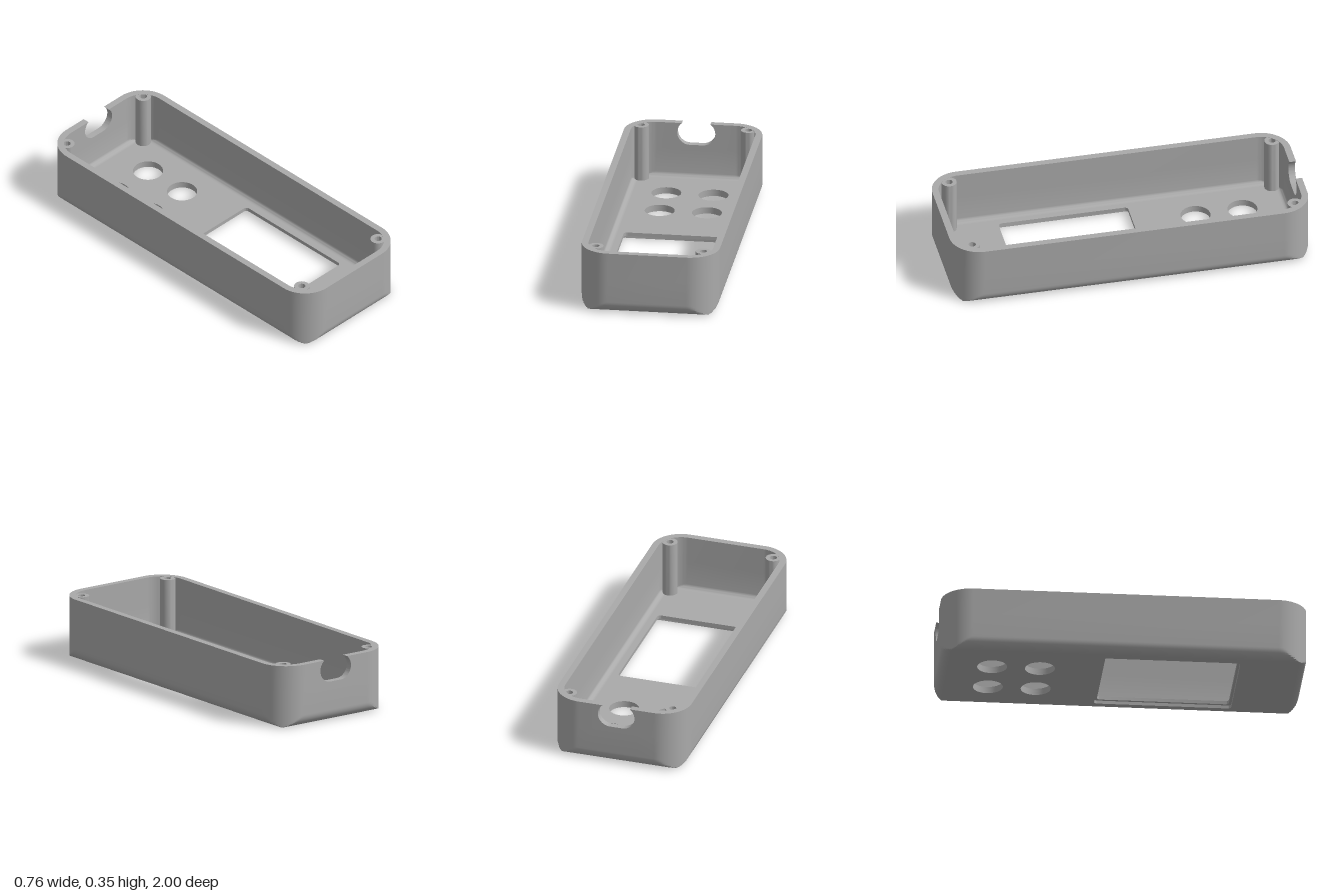
import * as THREE from 'three';
import { toCreasedNormals } from 'three/addons/utils/BufferGeometryUtils.js';

const X = 0.38, Z = 1, H = 0.35;      // half width, half length, height
const R = 0.165, FILLET = 0.065;      // plan corner radius, bottom edge radius
const WALL = 0.037, FLOOR = 0.037;
const NOTCH_X = 0.12, NOTCH_Y = 0.2;  // patch of the back wall holding the cable notch
const ARC = 24;

// One horizontal ring: rounded rectangle inset by `inset`, then trimmed straight by `trim`
function ring(y, inset, trim) {
  const hx = X - inset, hz = Z - inset, r = R - inset, pts = [];
  const add = (x, z) => pts.push([
    THREE.MathUtils.clamp(x, trim - hx, hx - trim), y,
    THREE.MathUtils.clamp(z, trim - hz, hz - trim)]);
  [[1, 1], [-1, 1], [-1, -1], [1, -1]].forEach(([sx, sz], q) => {
    if (q === 3) { add(-NOTCH_X, -hz); add(NOTCH_X, -hz); }
    for (let i = 0; i <= ARC; i++) {
      const a = (q + i / ARC) * Math.PI / 2;
      add(sx * (X - R) + r * Math.cos(a), sz * (Z - R) + r * Math.sin(a));
    }
  });
  return pts;
}

// Outer skin, rim and inner skin lofted as one surface, open at the notch patch
function shellGeometry() {
  const rings = [], steps = 10;
  for (let i = 0; i <= steps; i++) {
    const a = (i / steps) * Math.PI / 2;
    rings.push(ring(FILLET * (1 - Math.cos(a)), 0, FILLET * (1 - Math.sin(a))));
  }
  rings.push(ring(NOTCH_Y, 0, 0), ring(H, 0, 0), ring(H, WALL, 0), ring(NOTCH_Y, WALL, 0));
  const ri = FILLET - WALL;
  for (let i = steps; i >= 0; i--) {
    const a = (i / steps) * Math.PI / 2;
    rings.push(ring(FLOOR + ri * (1 - Math.cos(a)), WALL, ri * (1 - Math.sin(a))));
  }
  const pos = [], n = rings[0].length, gap = 3 * (ARC + 1);
  for (let k = 0; k < rings.length - 1; k++) {
    const lo = rings[k], up = rings[k + 1];
    for (let j = 0; j < n; j++) {
      if (j === gap && lo[0][1] >= NOTCH_Y && up[0][1] >= NOTCH_Y) continue;
      const m = (j + 1) % n;
      pos.push(...lo[j], ...up[j], ...lo[m], ...up[j], ...up[m], ...lo[m]);
    }
  }
  const g = new THREE.BufferGeometry();
  g.setAttribute('position', new THREE.Float32BufferAttribute(pos, 3));
  return toCreasedNormals(g, 0.5);
}

function roundedRect(path, x0, y0, x1, y1, r) {
  path.moveTo(x0 + r, y0);
  path.lineTo(x1 - r, y0).absarc(x1 - r, y0 + r, r, -Math.PI / 2, 0);
  path.lineTo(x1, y1 - r).absarc(x1 - r, y1 - r, r, 0, Math.PI / 2);
  path.lineTo(x0 + r, y1).absarc(x0 + r, y1 - r, r, Math.PI / 2, Math.PI);
  path.lineTo(x0, y0 + r).absarc(x0 + r, y0 + r, r, Math.PI, Math.PI * 1.5);
  return path;
}

// Floor layer with screen window and four button holes
function floorGeometry(y0, y1, grow) {
  const x = X - FILLET, z = Z - FILLET;
  const s = new THREE.Shape();
  s.moveTo(-x, -z).lineTo(x, -z).lineTo(x, z).lineTo(-x, z).closePath();
  s.holes.push(roundedRect(new THREE.Path(),
    -0.278 - grow, -0.103 - grow, 0.278 + grow, 0.62 + grow, 0.02));
  for (const hx of [-0.13, 0.13]) for (const hz of [-0.712, -0.45]) {
    s.holes.push(new THREE.Path().absarc(hx, hz, 0.082, 0, Math.PI * 2, true));
  }
  const g = new THREE.ExtrudeGeometry(s, { depth: y1 - y0, bevelEnabled: false, curveSegments: 24 });
  return toCreasedNormals(g.rotateX(Math.PI / 2).translate(0, y1, 0), 0.5);
}

// Patch of back wall with an obround notch open at the rim
function notchGeometry() {
  const r = 0.07, half = 0.035, cy = 0.295;
  const a = Math.asin((H - cy) / r), edge = half + r * Math.cos(a);
  const s = new THREE.Shape();
  s.moveTo(-NOTCH_X, NOTCH_Y).lineTo(NOTCH_X, NOTCH_Y).lineTo(NOTCH_X, H).lineTo(edge, H);
  s.absarc(half, cy, r, a, -Math.PI / 2, true);
  s.absarc(-half, cy, r, -Math.PI / 2, -Math.PI - a, true);
  s.lineTo(-NOTCH_X, H).closePath();
  const g = new THREE.ExtrudeGeometry(s, { depth: WALL, bevelEnabled: false, curveSegments: 20 });
  return toCreasedNormals(g.translate(0, 0, -Z), 0.5);
}

// Screw post with a blind hole
function postGeometry() {
  const top = H - 0.001;
  const profile = [[0.042, FLOOR - 0.005], [0.042, top], [0.02, top], [0.02, 0.12], [0, 0.12]];
  return toCreasedNormals(
    new THREE.LatheGeometry(profile.map(([x, y]) => new THREE.Vector2(x, y)), 32), 0.5);
}

export function createModel() {
  const group = new THREE.Group();
  group.name = 'enclosureHalf';
  const grey = new THREE.MeshStandardMaterial({ color: 0xaaaaaa });
  grey.name = 'grey plastic';
  const add = (name, geometry) => {
    const mesh = new THREE.Mesh(geometry, grey);
    mesh.name = name;
    group.add(mesh);
    return mesh;
  };

  add('shellWalls', shellGeometry());
  add('backWallNotch', notchGeometry());
  // The window is wider on the outside, leaving a small ledge
  add('floorOuter', floorGeometry(0, 0.018, 0.014));
  add('floorInner', floorGeometry(0.018, FLOOR, 0));

  const post = postGeometry();
  for (const sx of [-1, 1]) {
    for (const [end, z] of [['front', 0.89], ['back', -0.913]]) {
      add(`${end}${sx > 0 ? 'Left' : 'Right'}ScrewPost`, post).position.set(sx * 0.296, 0, z);
    }
  }
  return group;
}
